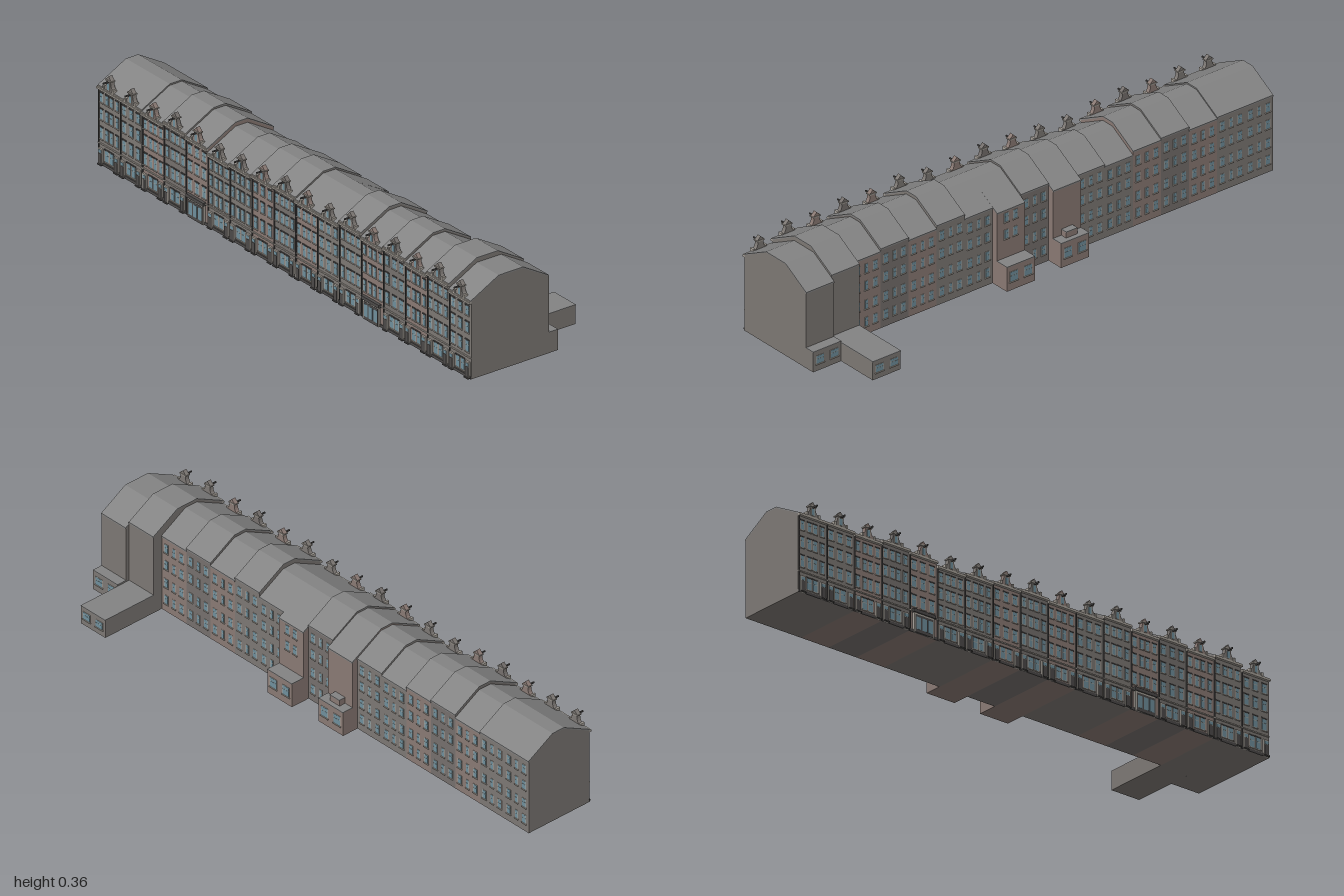
import * as THREE from 'three';
import { mergeGeometries } from 'three/addons/utils/BufferGeometryUtils.js';

const mat = (color) => new THREE.MeshStandardMaterial({ color, flatShading: true });
const MATS = {
  brickWarm: mat(0x8a7a74), brickGrey: mat(0x7d7874), brickDark: mat(0x75706d),
  roof: mat(0x838383), glass: mat(0x6f8f9c), trim: mat(0xa8a29a), dark: mat(0x4c4a49),
};
const FRONT = 0.237, BACK = -0.03;

// Box given by centre x, bottom y, z range
function box(x, y, z0, z1, w, h) {
  return new THREE.BoxGeometry(w, h, z1 - z0).translate(x, y + h / 2, (z0 + z1) / 2).toNonIndexed();
}

// Extrude a (z, y) outline along x from x0 to x1
function alongX(points, x0, x1) {
  const shape = new THREE.Shape(points.map(([z, y]) => new THREE.Vector2(-z, y)));
  return new THREE.ExtrudeGeometry(shape, { depth: x1 - x0, bevelEnabled: false })
    .rotateY(Math.PI / 2).translate(x0, 0, 0);
}

// Neck gable outline with concave shoulders and a pointed cap
function neckGable(x, y) {
  const s = new THREE.Shape();
  s.moveTo(-0.027, 0);
  s.lineTo(0.027, 0);
  s.lineTo(0.027, 0.008);
  s.quadraticCurveTo(0.012, 0.012, 0.011, 0.036);
  s.lineTo(0.014, 0.041);
  s.lineTo(0.006, 0.048);
  s.lineTo(0, 0.055);
  s.lineTo(-0.006, 0.048);
  s.lineTo(-0.014, 0.041);
  s.lineTo(-0.011, 0.036);
  s.quadraticCurveTo(-0.012, 0.012, -0.027, 0.008);
  return new THREE.ExtrudeGeometry(s, { depth: 0.015, bevelEnabled: false, curveSegments: 4 })
    .translate(x, y, 0.226);
}

function createHouse(i, x0, x1, ridge, wall, opts) {
  const house = new THREE.Group();
  house.name = `house${i + 1}`;
  const parts = {};
  const add = (name, material, geo) => (parts[name] ??= { material, list: [] }).list.push(geo);
  const c = (x0 + x1) / 2, eave = ridge - 0.062;
  const back = opts.back ?? BACK;
  const flatBack = opts.wing ? 0.075 : back + 0.105;
  const backEave = opts.wing ? eave - 0.012 : eave;

  // Body and roof skin
  const top = [[FRONT, eave], [0.125, ridge - 0.003], [flatBack, ridge - 0.003], [back, backEave - 0.003]];
  add('walls', wall, alongX([[back, 0], [FRONT, 0], ...top], x0, x1));
  const skin = [[FRONT + 0.003, eave + 0.002], [0.125, ridge], [flatBack, ridge], [back - 0.002, backEave]];
  const under = skin.map(([z, y]) => [z, y - 0.005]).reverse();
  add('roof', MATS.roof, alongX([...skin, ...under], x0, x1));

  // Cornice, string course, plinth and downpipe
  const w = x1 - x0;
  add('cornice', MATS.trim, box(c, eave - 0.009, FRONT, FRONT + 0.01, w, 0.006));
  add('cornice', MATS.trim, box(c, eave - 0.003, FRONT, FRONT + 0.007, w, 0.004));
  add('stringCourse', MATS.trim, box(c, 0.074, FRONT, FRONT + 0.004, w, 0.004));
  add('plinth', MATS.dark, box(c, 0, FRONT, FRONT + 0.003, w, 0.01));
  add('downpipe', MATS.dark, box(x0 + 0.003, 0, FRONT, FRONT + 0.004, 0.003, eave - 0.008));

  // One window: frame, two panes, sill and lintel; dir is +1 front, -1 back
  const windowAt = (x, y, ww, h, z, dir) => {
    const slab = (name, m, px, py, pw, ph, d0, d1) =>
      add(name, m, box(px, py, Math.min(z + dir * d0, z + dir * d1), Math.max(z + dir * d0, z + dir * d1), pw, ph));
    slab('windowFrame', MATS.trim, x, y, ww, h, -0.001, 0.001);
    slab('windowGlass', MATS.glass, x, y + 0.0015, ww - 0.003, h * 0.6 - 0.002, 0, 0.0016);
    slab('windowGlass', MATS.glass, x, y + h * 0.6 + 0.0015, ww - 0.003, h * 0.4 - 0.003, 0, 0.0016);
    slab('windowSill', MATS.trim, x, y - 0.003, ww + 0.004, 0.003, 0, 0.004);
    if (dir > 0) slab('lintel', MATS.dark, x, y + h, ww + 0.003, 0.004, 0, 0.003);
  };

  // Front upper floors
  const rows = [0.093, 0.163, 0.226].map((y) => y * eave / 0.283);
  const offsets = i % 3 === 1 ? [-0.038, 0, 0.038] : [-0.042, -0.012, 0.012, 0.042];
  rows.forEach((y, r) => offsets.forEach((o) =>
    windowAt(c + o, y, offsets.length === 3 ? 0.02 : 0.016, 0.042 - r * 0.004, FRONT, 1)));

  // Ground floor: a wide portal, or doors flanking shop windows
  if (opts.portal) {
    add('portalSurround', MATS.trim, box(c, 0, FRONT, FRONT + 0.008, 0.086, 0.07));
    add('portalDoor', MATS.dark, box(c, 0, FRONT, FRONT + 0.009, 0.076, 0.064));
    for (const o of [-0.025, 0, 0.025])
      add('portalGlass', MATS.glass, box(c + o, 0.012, FRONT, FRONT + 0.0095, 0.019, 0.044));
    add('portalCanopy', MATS.dark, box(c, 0.07, FRONT, FRONT + 0.012, 0.094, 0.012));
  } else {
    for (const s of [-1, 1]) {
      const dx = c + s * 0.043;
      add('doorFrame', MATS.trim, box(dx, 0, FRONT, FRONT + 0.006, 0.021, 0.06));
      add('door', MATS.dark, box(dx, 0, FRONT, FRONT + 0.007, 0.015, 0.042));
      add('doorLight', MATS.glass, box(dx, 0.044, FRONT, FRONT + 0.007, 0.015, 0.011));
      add('doorStep', MATS.dark, box(dx, 0, FRONT, FRONT + 0.011, 0.022, 0.004));
      windowAt(c + s * 0.013, 0.018, 0.021, 0.042, FRONT, 1);
    }
  }

  // Gable dormer with loft hatch and hoist beam
  add('gable', wall, neckGable(c, eave));
  add('gableCap', MATS.trim, box(c, eave + 0.037, 0.224, 0.244, 0.03, 0.004));
  for (const s of [-1, 1]) add('gableScroll', MATS.trim, box(c + s * 0.025, eave, 0.228, 0.245, 0.007, 0.013));
  add('hatchFrame', MATS.trim, box(c, eave + 0.004, 0.238, 0.2425, 0.015, 0.027));
  add('hatch', MATS.glass, box(c, eave + 0.006, 0.238, 0.2432, 0.011, 0.023));
  add('hoistBeam', MATS.dark, box(c, eave + 0.032, 0.235, 0.264, 0.004, 0.005));

  // Rear windows
  if (!opts.blankBack) {
    const n = opts.wing ? 2 : 3;
    for (const y of [0.03, ...rows]) {
      if (opts.wing && y < 0.12) continue;
      for (let k = 0; k < n; k++)
        windowAt(c + (k - (n - 1) / 2) * 0.037, y, k === 1 && n === 3 ? 0.014 : 0.019, 0.034, back, -1);
    }
  }

  // Rear extensions: [far z, height, width fraction]
  for (const [z, h, f] of opts.ext ?? []) {
    const ew = w * f;
    add('rearExtension', wall, box(c, 0, z, back + 0.01, ew, h));
    add('rearExtensionRoof', MATS.roof, box(c, h - 0.001, z - 0.001, back, ew, 0.003));
    if (f === 1) for (const o of [-0.03, 0.03]) windowAt(c + o, h * 0.35, 0.034, h * 0.42, z, -1);
  }

  for (const [name, { material, list }] of Object.entries(parts)) {
    const mesh = new THREE.Mesh(mergeGeometries(list), material);
    mesh.name = name;
    house.add(mesh);
  }
  return house;
}

export function createModel() {
  const group = new THREE.Group();
  group.name = 'terraceRow';
  const row = new THREE.Group();
  row.name = 'houses';
  const ridges = [0.345, 0.345, 0.34, 0.352, 0.345, 0.33, 0.338, 0.345, 0.352,
    0.345, 0.345, 0.362, 0.35, 0.36, 0.35, 0.362, 0.345];
  const special = {
    4: { portal: true },
    7: { back: -0.052, wing: true, blankBack: true, ext: [[-0.094, 0.09, 1], [-0.077, 0.113, 0.4]] },
    9: { back: -0.052, wing: true, ext: [[-0.104, 0.09, 1]] },
    12: { portal: true },
    15: { back: -0.066, blankBack: true, ext: [[-0.28, 0.068, 1]] },
    16: { back: -0.08, blankBack: true, ext: [[-0.117, 0.074, 1]] },
  };
  const walls = [MATS.brickGrey, MATS.brickGrey, MATS.brickWarm, MATS.brickDark, MATS.brickWarm];
  const width = 2 / ridges.length;
  ridges.forEach((ridge, i) => {
    const x0 = -1 + i * width;
    row.add(createHouse(i, x0, x0 + width, ridge, walls[i % walls.length], special[i] ?? {}));
  });
  // The street line runs slightly askew
  row.rotation.y = -0.01;
  group.add(row);
  return group;
}
